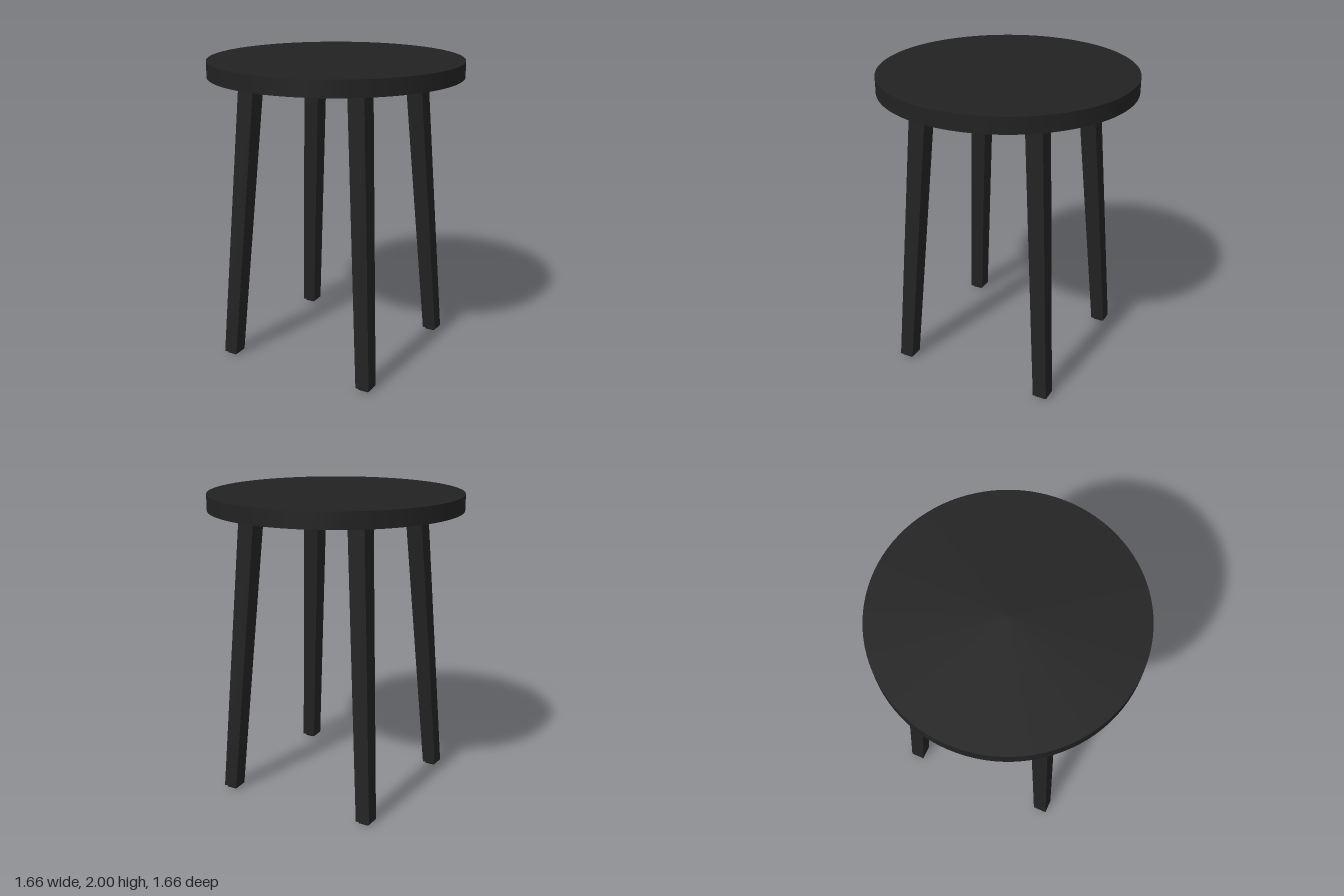
import * as THREE from 'three';

const black = new THREE.MeshStandardMaterial({ color: 0x222222 });
black.name = 'black';
const underside = new THREE.MeshStandardMaterial({ color: 0x35332a });
underside.name = 'dark olive underside';
const rubber = new THREE.MeshStandardMaterial({ color: 0x181818 });
rubber.name = 'rubber';

const SEAT_RADIUS = 0.83, SEAT_BOTTOM = 1.895, SEAT_TOP = 2;
const FOOT_HEIGHT = 0.015;

// Square leg that leans outward on both axes and narrows toward the floor
function legGeometry(sx, sz) {
  const height = SEAT_BOTTOM - FOOT_HEIGHT;
  const geo = new THREE.BoxGeometry(1, height, 1);
  geo.translate(0, FOOT_HEIGHT + height / 2, 0);
  const p = geo.attributes.position;
  for (let i = 0; i < p.count; i++) {
    const t = (p.getY(i) - FOOT_HEIGHT) / height;
    const centre = THREE.MathUtils.lerp(0.513, 0.392, t);
    const width = THREE.MathUtils.lerp(0.095, 0.115, t);
    p.setX(i, sx * centre + p.getX(i) * width);
    p.setZ(i, sz * centre + p.getZ(i) * width);
  }
  geo.computeVertexNormals();
  return geo;
}

export function createModel() {
  const model = new THREE.Group();
  model.name = 'stool';

  // Round seat; the lower cap has its own colour
  const seatHeight = SEAT_TOP - SEAT_BOTTOM;
  const seat = new THREE.Mesh(
    new THREE.CylinderGeometry(SEAT_RADIUS, SEAT_RADIUS, seatHeight, 96),
    [black, black, underside]
  );
  seat.name = 'seat';
  seat.position.y = SEAT_BOTTOM + seatHeight / 2;
  model.add(seat);

  // Four splayed legs, each with a small floor pad
  for (const sz of [1, -1]) {
    for (const sx of [1, -1]) {
      const place = (sz > 0 ? 'front' : 'back') + (sx > 0 ? 'Left' : 'Right');
      const leg = new THREE.Mesh(legGeometry(sx, sz), black);
      leg.name = place + 'Leg';
      const foot = new THREE.Mesh(new THREE.BoxGeometry(0.065, FOOT_HEIGHT, 0.065), rubber);
      foot.name = place + 'FootPad';
      foot.position.set(sx * 0.513, FOOT_HEIGHT / 2, sz * 0.513);
      model.add(leg, foot);
    }
  }
  return model;
}
